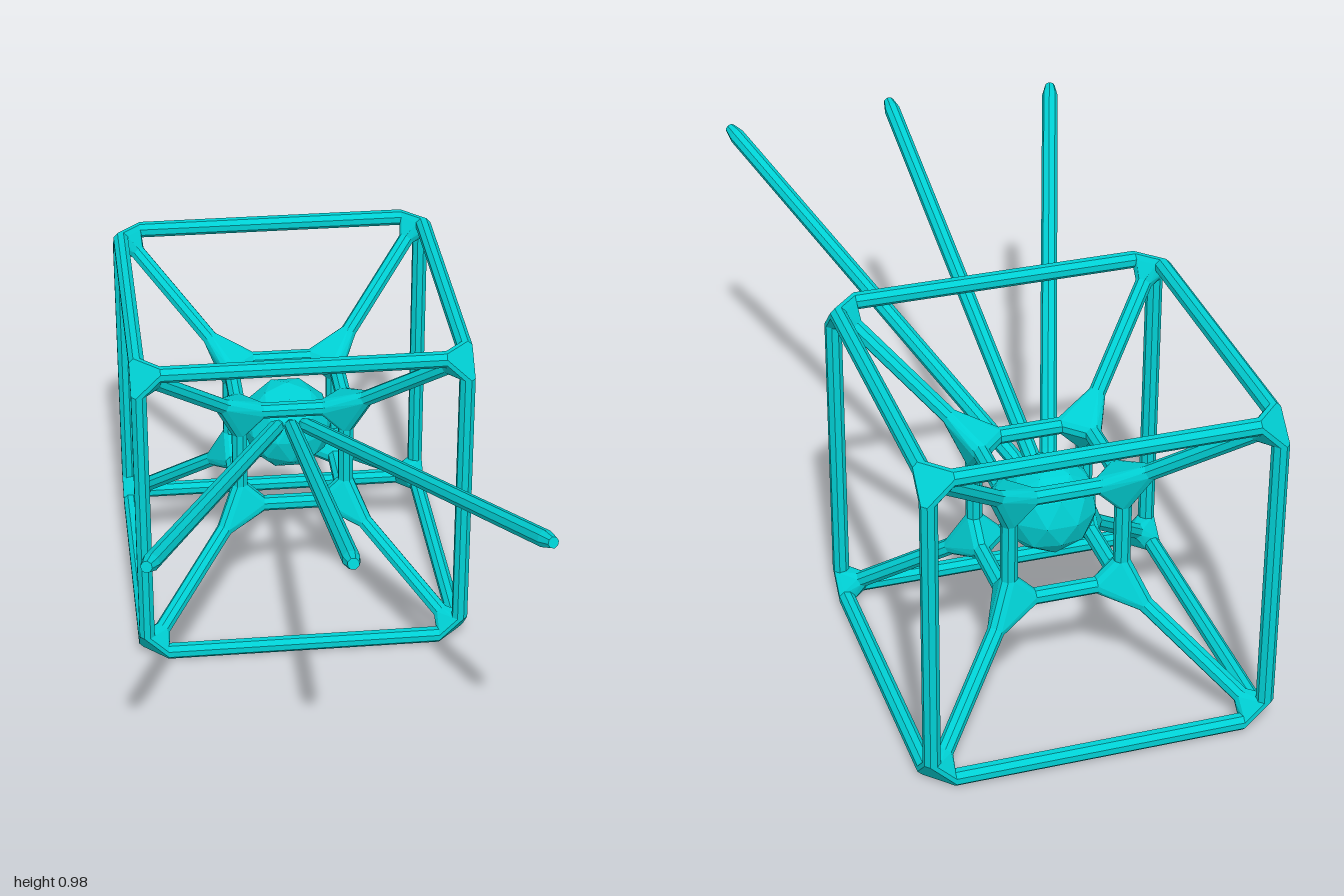
import * as THREE from 'three';
import { ConvexGeometry } from 'three/addons/geometries/ConvexGeometry.js';

const UP = new THREE.Vector3(0, 1, 0);
const R = 0.023; // strut radius
const CENTRE = new THREE.Vector3(0.016, 0.472, -0.525);

export function createModel() {
  const model = new THREE.Group();
  const material = new THREE.MeshStandardMaterial({ color: 0x00d0d4, flatShading: true });
  const v = (x, y, z) => new THREE.Vector3(x, y, z);

  function add(parent, name, geometry) {
    const mesh = new THREE.Mesh(geometry, material);
    mesh.name = name;
    parent.add(mesh);
    return mesh;
  }

  // Octagonal strut between two points
  function strut(parent, name, a, b) {
    const dir = b.clone().sub(a);
    const g = new THREE.CylinderGeometry(R, R, dir.length(), 8, 1, true, Math.PI / 8);
    const mesh = add(parent, name, g);
    mesh.quaternion.setFromUnitVectors(UP, dir.normalize());
    mesh.position.copy(a).add(b).multiplyScalar(0.5);
  }

  // Octagon of points matching a strut's section
  function ring(centre, dir) {
    const q = new THREE.Quaternion().setFromUnitVectors(UP, dir);
    return Array.from({ length: 8 }, (_, i) => {
      const t = Math.PI / 8 + i * Math.PI / 4;
      return v(Math.sin(t) * R, 0, Math.cos(t) * R).applyQuaternion(q).add(centre);
    });
  }

  // Cube frame: struts along each axis, with a blended joint at every corner
  function cubeFrame(name, half, inset, diagonalInset) {
    const frame = new THREE.Group();
    frame.name = name;
    frame.position.copy(CENTRE);
    model.add(frame);
    for (let i = 0; i < 8; i++) {
      const s = v(i & 1 ? 1 : -1, i & 2 ? 1 : -1, i & 4 ? 1 : -1);
      const corner = s.clone().multiplyScalar(half);
      const outward = s.clone().normalize();
      const points = ring(corner.clone().addScaledVector(outward, diagonalInset), outward);
      for (const axis of ['x', 'y', 'z']) {
        const dir = v(0, 0, 0);
        dir[axis] = -s[axis];
        const start = corner.clone().addScaledVector(dir, inset);
        points.push(...ring(start, dir));
        if (s[axis] < 0) {
          strut(frame, name + 'Strut', start, corner.clone().addScaledVector(dir, 2 * half - inset));
        }
      }
      add(frame, name + 'Joint', new ConvexGeometry(points));
    }
  }

  const OUTER = 0.451, INNER = 0.154;
  cubeFrame('outerFrame', OUTER, 0.06, -0.085);
  cubeFrame('innerFrame', INNER, 0.07, 0.09);

  // Diagonals joining the two frames
  const diagonals = new THREE.Group();
  diagonals.name = 'diagonals';
  diagonals.position.copy(CENTRE);
  model.add(diagonals);
  for (let i = 0; i < 8; i++) {
    const s = v(i & 1 ? 1 : -1, i & 2 ? 1 : -1, i & 4 ? 1 : -1).normalize();
    strut(diagonals, 'diagonalStrut',
      s.clone().multiplyScalar(INNER * Math.sqrt(3) + 0.09),
      s.clone().multiplyScalar(OUTER * Math.sqrt(3) - 0.085));
  }

  // Faceted core, one vertex pointing straight up
  const core = add(model, 'core',
    new THREE.IcosahedronGeometry(0.133, 1).rotateX(-Math.atan((1 + Math.sqrt(5)) / 2)));
  core.position.set(0.016, 0.496, -0.525);

  // Three rods fanning forward from the core, with tapered ends
  for (const side of [-1, 0, 1]) {
    const a = v(0.016 + side * 0.035, 0.546, -0.425);
    const b = v(0.016 + side * 0.491, 0.969, side ? 0.955 : 0.996);
    const dir = b.clone().sub(a);
    const half = dir.length() / 2;
    const profile = [[0, -half], [0.015, -half], [R, -half + 0.04], [R, half - 0.04], [0.015, half], [0, half]]
      .map(([x, y]) => new THREE.Vector2(x, y));
    const rod = add(model, 'rod', new THREE.LatheGeometry(profile, 8, Math.PI / 8));
    rod.quaternion.setFromUnitVectors(UP, dir.normalize());
    rod.position.copy(a).add(b).multiplyScalar(0.5);
  }

  return model;
}
